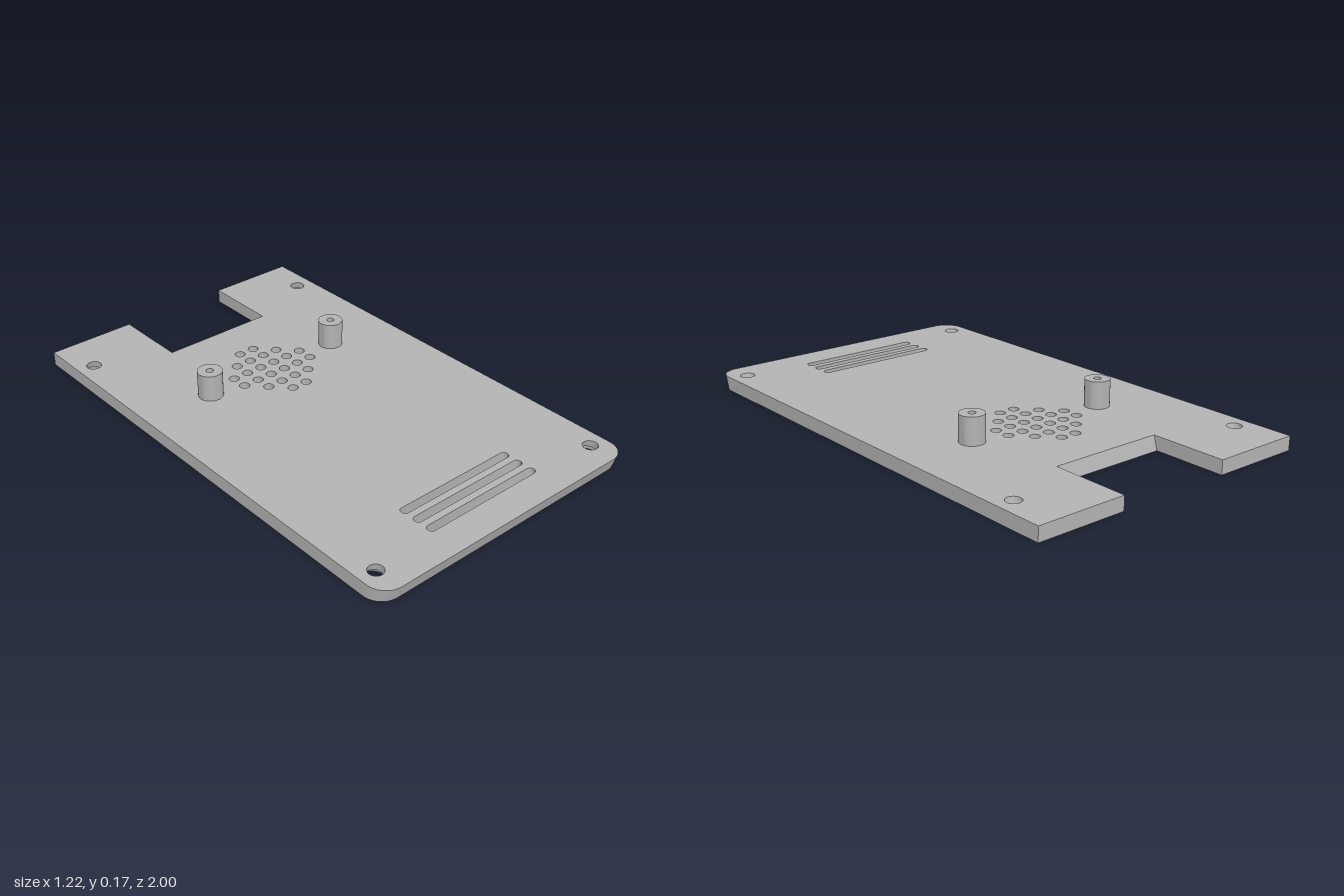
import * as THREE from 'three';
import { toCreasedNormals } from 'three/addons/utils/BufferGeometryUtils.js';

const T = 0.057;      // plate thickness
const LEAN = 0.017;   // how far leaning walls shift back at the bottom
const STEP = 0.028;   // depth of the screw recesses
const HOLES = [[-0.54, -0.803], [0.54, -0.803], [-0.54, 0.887], [0.54, 0.887]];

// Front edge, notch floor and screw holes lean backwards towards the underside
function lean(geometry) {
  const p = geometry.attributes.position;
  for (let i = 0; i < p.count; i++) {
    const x = p.getX(i), z = p.getZ(i);
    const leaning = z > 0.9 || (z > 0.8 && Math.abs(x) > 0.45) || (z > -0.95 && z < -0.6);
    if (leaning) p.setZ(i, z - LEAN * (1 - p.getY(i) / T));
  }
  return toCreasedNormals(geometry, 0.6);
}

// Shape coordinates are (x, -z)
function roundHole(x, z, r) {
  const path = new THREE.Path();
  path.absarc(x, -z, r, 0, Math.PI * 2, true);
  return path;
}

function slotHole(z, halfLength, r) {
  const path = new THREE.Path(), c = halfLength - r;
  path.absarc(c, -z, r, -Math.PI / 2, Math.PI / 2, false);
  path.absarc(-c, -z, r, Math.PI / 2, Math.PI * 1.5, false);
  path.closePath();
  return path;
}

function lathe(points) {
  return new THREE.LatheGeometry(points.map(([r, y]) => new THREE.Vector2(r, y)), 32);
}

export function createModel() {
  const group = new THREE.Group();
  const grey = new THREE.MeshStandardMaterial({ color: 0xb4b4b4 });
  grey.name = 'grey plastic';
  const add = (name, geometry) => {
    const mesh = new THREE.Mesh(geometry, grey);
    mesh.name = name;
    group.add(mesh);
    return mesh;
  };

  // Plate outline with rounded front corners and a notch at the back
  const w = 0.612, r = 0.08, n = 0.24;
  const s = new THREE.Shape();
  s.moveTo(-w, 1);
  s.lineTo(-w, -1 + r);
  s.absarc(-w + r, -1 + r, r, Math.PI, Math.PI * 1.5, false);
  s.absarc(w - r, -1 + r, r, -Math.PI / 2, 0, false);
  s.lineTo(w, 1);
  s.lineTo(n, 1);
  s.lineTo(n, 0.68);
  s.lineTo(-n, 0.68);
  s.lineTo(-n, 1);
  s.closePath();

  // Screw recesses, speaker grille and slots
  for (const [x, z] of HOLES) s.holes.push(roundHole(x, z, 0.05));
  [2, 4, 6, 6, 4, 2].forEach((count, row) => {
    for (let i = 0; i < count; i++) {
      s.holes.push(roundHole((i - (count - 1) / 2) * 0.068, -0.484 + row * 0.0686, 0.021));
    }
  });
  for (const z of [0.722, 0.786, 0.85]) s.holes.push(slotHole(z, 0.268, 0.0175));

  const plate = new THREE.ExtrudeGeometry(s, { depth: T, bevelEnabled: false, curveSegments: 16 });
  plate.rotateX(-Math.PI / 2);
  add('plate', lean(plate));

  // Narrow collars above the screw recesses
  for (const [x, z] of HOLES) {
    const collar = lathe([[0.05, T], [0.03, T], [0.03, STEP], [0.05, STEP]]).translate(x, 0, z);
    add('screwCollar', lean(collar));
  }

  // Hollow mounting posts
  for (const side of [-1, 1]) {
    const post = lathe([[0.05, T], [0.05, 0.167], [0.015, 0.167], [0.015, T + 0.002], [0, T + 0.002]]);
    const mesh = add(side > 0 ? 'leftPost' : 'rightPost', toCreasedNormals(post, 0.6));
    mesh.position.set(side * 0.311, 0, -0.312);
  }
  return group;
}
